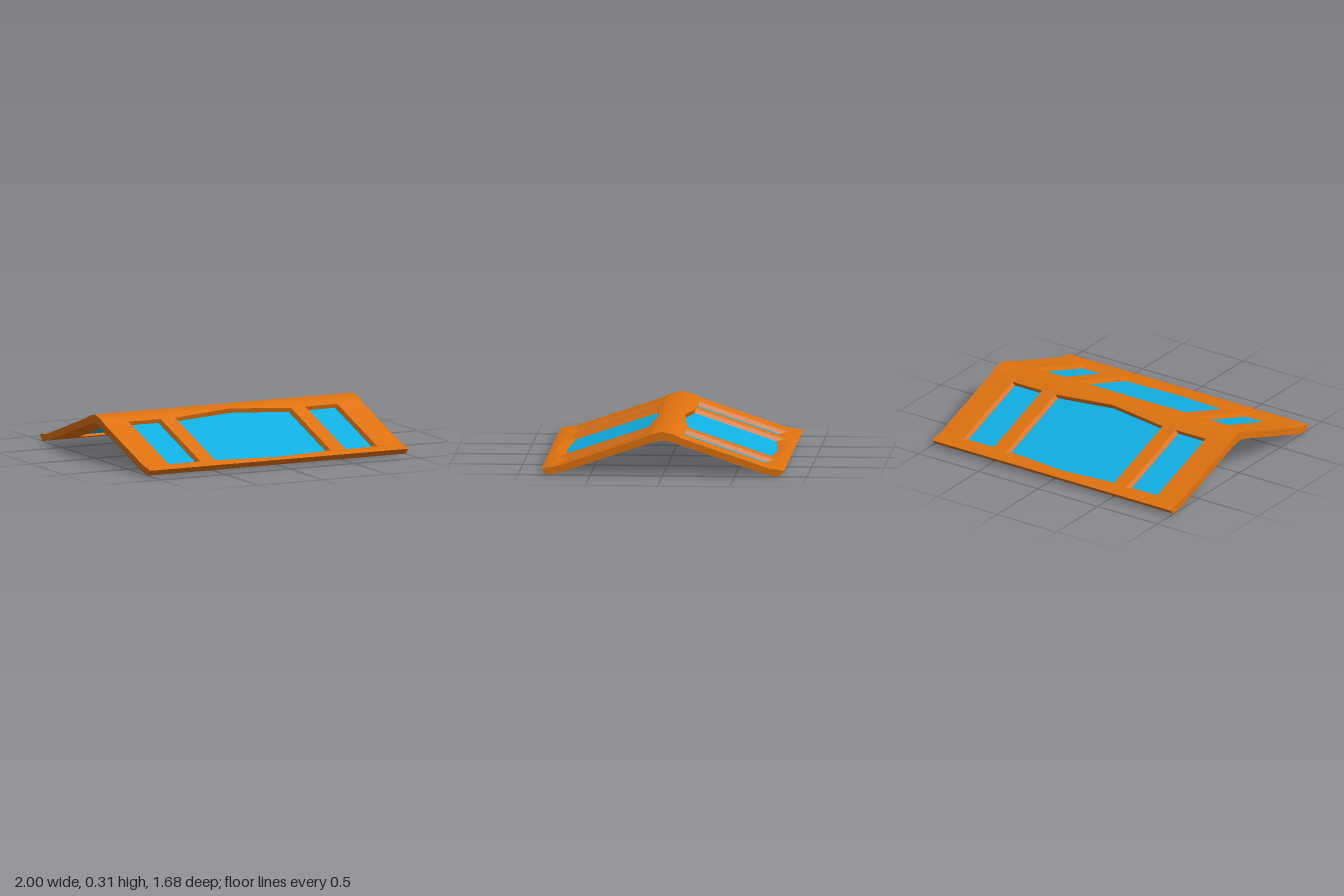
import * as THREE from 'three';
import { toCreasedNormals } from 'three/addons/utils/BufferGeometryUtils.js';

// Half profiles from ridge (z = 0) to eave tip: [z, y]
const TOP = [[0, 0.31], [0.09, 0.288], [0.13, 0.266], [0.74, 0.06], [0.8, 0.054], [0.84, 0.042]];
const UNDER = [[0, 0.25], [0.08, 0.232], [0.7, 0.022], [0.8, 0.002], [0.84, 0.042]];
const KNOTS = [0, 0.08, 0.09, 0.13, 0.7, 0.74, 0.8, 0.84];

// Column breaks across the roof; openings taper towards the underside
const X_TOP = [-1, -0.81, -0.56, -0.45, 0, 0.45, 0.56, 0.81, 1];
const X_UNDER = [-1, -0.785, -0.585, -0.425, 0, 0.425, 0.585, 0.785, 1];

// Opening limits [ridge end, eave end] at both sides of a column
const PLAIN = { top: [0.135, 0.745], under: [0.12, 0.662] };
const PEAK = { top: [0.09, 0.79], under: [0.07, 0.685] };
const COLUMNS = [null, [PLAIN, PLAIN], null, [PLAIN, PEAK], [PEAK, PLAIN], null, [PLAIN, PLAIN], null];

function heightAt(profile, z) {
  let i = 0;
  while (i < profile.length - 2 && z > profile[i + 1][0]) i++;
  const [z0, y0] = profile[i], [z1, y1] = profile[i + 1];
  return y0 + (y1 - y0) * (z - z0) / (z1 - z0);
}

const point = (profile, x, z) => new THREE.Vector3(x, heightAt(profile, z), z);

// Points down the slope between two z limits
const row = (profile, x, z0, z1) =>
  KNOTS.map(k => point(profile, x, Math.min(z1, Math.max(z0, k))));

// Collects quads between point rows and turns a copy to the other slope
class Surface {
  constructor() { this.positions = []; }
  triangle(a, b, c) {
    const area = b.clone().sub(a).cross(c.clone().sub(a)).length();
    if (area < 1e-8) return;
    for (const s of [1, -1])
      for (const p of [a, b, c]) this.positions.push(s * p.x, p.y, s * p.z);
  }
  strip(a, b) {
    for (let i = 0; i < a.length - 1; i++) {
      this.triangle(a[i], a[i + 1], b[i + 1]);
      this.triangle(a[i], b[i + 1], b[i]);
    }
  }
  mesh(name, material) {
    const geometry = new THREE.BufferGeometry();
    geometry.setAttribute('position', new THREE.Float32BufferAttribute(this.positions, 3));
    const mesh = new THREE.Mesh(toCreasedNormals(geometry, 0.6), material);
    mesh.name = name;
    return mesh;
  }
}

// Top and underside skin of one column between z limits at its two sides
function addSkins(frame, i, topA, topB, underA, underB) {
  frame.strip(row(TOP, X_TOP[i], ...topA), row(TOP, X_TOP[i + 1], ...topB));
  frame.strip(row(UNDER, X_UNDER[i + 1], ...underB), row(UNDER, X_UNDER[i], ...underA));
}

export function createModel() {
  const frame = new Surface(), glass = new Surface();

  COLUMNS.forEach((opening, i) => {
    const full = [0, 0.84];
    if (!opening) {
      addSkins(frame, i, full, full, full, full);
      return;
    }
    const [a, b] = opening;

    // Ridge strip above and eave strip below the opening
    addSkins(frame, i, [0, a.top[0]], [0, b.top[0]], [0, a.under[0]], [0, b.under[0]]);
    addSkins(frame, i, [a.top[1], 0.84], [b.top[1], 0.84], [a.under[1], 0.84], [b.under[1], 0.84]);

    // Reveals at the ridge and eave ends
    const edge = (profile, xs, key, end) =>
      [point(profile, xs[i], a[key][end]), point(profile, xs[i + 1], b[key][end])];
    const ends = [0, 1].map(e => [edge(TOP, X_TOP, 'top', e), edge(UNDER, X_UNDER, 'under', e)]);
    frame.strip(ends[0][1], ends[0][0]);
    frame.strip(ends[1][0], ends[1][1]);

    // Reveals at the sides
    if (!COLUMNS[i - 1])
      frame.strip(row(TOP, X_TOP[i], ...a.top), row(UNDER, X_UNDER[i], ...a.under));
    if (!COLUMNS[i + 1])
      frame.strip(row(UNDER, X_UNDER[i + 1], ...b.under), row(TOP, X_TOP[i + 1], ...b.top));

    // Pane set inside the thickness of the roof
    const [ridgeEdge, eaveEdge] = ends.map(([t, u]) => t.map((p, k) => p.clone().lerp(u[k], 0.6)));
    glass.strip(eaveEdge, ridgeEdge);
  });

  // Gable ends (the turned copy closes the other side of each slope)
  const outline = (profile, x) => row(profile, x, 0, 0.84);
  frame.strip(outline(TOP, 1), outline(UNDER, 1));
  frame.strip(outline(UNDER, -1), outline(TOP, -1));

  const group = new THREE.Group();
  group.name = 'gableRoof';
  group.add(
    frame.mesh('roofFrame', new THREE.MeshStandardMaterial({ color: 0xe0720e })),
    glass.mesh('windowPanes', new THREE.MeshStandardMaterial({ color: 0x10b0e4, side: THREE.DoubleSide })),
  );
  return group;
}
